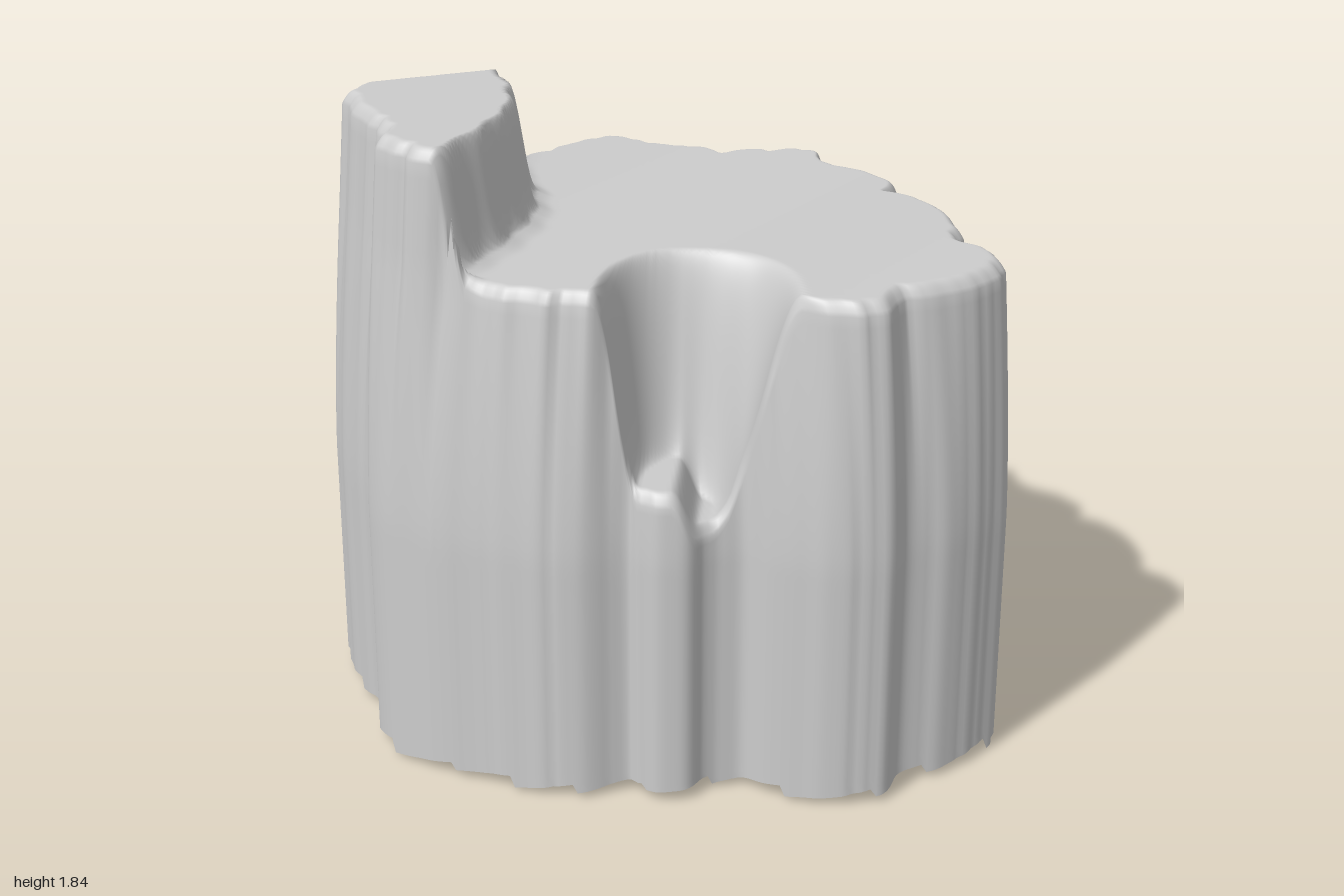
import * as THREE from 'three';

const SEG = 400;
const { smoothstep: smooth, lerp, clamp } = THREE.MathUtils;

// Plan outline (x, z) of the foot of the rock, starting at the right (-x) side and running past the back
const OUTLINE = [
  [-1, 0], [-.99, -.09], [-.89, -.22], [-.77, -.35], [-.61, -.48], [-.48, -.6], [-.34, -.75],
  [-.235, -.79], [-.13, -.75], [.03, -.71], [.165, -.67], [.3, -.695], [.45, -.66], [.49, -.55],
  [.62, -.43], [.705, -.32], [.72, -.23], [.835, -.11], [.89, .05], [.9, .19], [.99, .29],
  [.995, .385], [.89, .53], [.82, .58], [.72, .64], [.67, .73], [.51, .765], [.35, .73], [.27, .68],
  [.18, .71], [.11, .78], [0, .765], [-.05, .73], [-.13, .77], [-.26, .78], [-.45, .73],
  [-.61, .67], [-.73, .59], [-.8, .51], [-.81, .4], [-.88, .27], [-.96, .13],
];

// Plan positions of the cracks that open towards the rim
const CRACKS = [[.16, -.67], [.32, -.69], [-.12, -.75], [-.55, -.54], [-.98, -.05], [-.85, .3],
  [-.73, .59], [-.61, .67], [.72, -.25], [.88, .12], [.75, .62]];

// Small seeded noise, one value per integer
const hash = n => {
  const s = Math.sin(n * 127.1 + 11.7) * 43758.5453;
  return s - Math.floor(s);
};

// Periodic smooth noise around the outline, u in 0..1
function ringNoise(u, count, seed) {
  const p = u * count, i = Math.floor(p);
  const a = hash((i % count) + seed), b = hash(((i + 1) % count) + seed);
  return lerp(a, b, smooth(p - i, 0, 1)) * 2 - 1;
}

// x of the crooked ledge face at depth z
const LEDGE = [[-.5, -.5], [-.3, -.5], [-.1, -.42], [.1, -.39], [.25, -.41], [.4, -.45], [.6, -.53]];
function ledgeX(z) {
  const i = clamp(LEDGE.findIndex(p => p[0] >= z), 1, LEDGE.length - 1);
  const [z0, x0] = LEDGE[i - 1], [z1, x1] = LEDGE[i];
  return lerp(x0, x1, clamp((z - z0) / (z1 - z0), 0, 1)) + .006 * Math.sin(z * 38);
}

// Height of the top surface: plateau, raised ledge and front hollow
function topHeight(x, z) {
  let y = 1.5 - .025 * z + .004 * Math.sin(5 * x + 3 * z);

  // Ledge, sloping down to a low shoulder at its back end
  const back = (x + .57) * -.45 + (z + .36) * -.89;
  const e = x - ledgeX(z);
  const face = .9 * (1 - smooth(e, -.045, .025)) + .1 * (1 - smooth(e, -.02, .08));
  const end = .76 * (1 - smooth(back, -.11, .03)) + .24 * (1 - smooth(back, .02, .22));
  y += (1.835 - .01 * z - y) * face * end;

  // Hollow: steep on its left, sloping on its right, with a stepped floor
  const dx = Math.abs(x - .13) / (x < .13 ? .26 : .285);
  const dz = Math.max(0, .7 - z) / .36;
  const r = Math.pow(dx ** 2.5 + dz ** 2.5, .4);
  const floor = .83 + .11 * (1 - smooth(x, .08, .15)) + .08 * smooth(x, .18, .26);
  return floor + (y - floor) * smooth(r, lerp(.56, .3, smooth(x, .04, .28)), 1.02);
}

// Mesh from closed rings of points, bottom to top
function ringMesh(name, rings) {
  const pos = [], index = [];
  rings.forEach(ring => ring.forEach(p => pos.push(p.x, p.y, p.z)));
  for (let i = 0; i < rings.length - 1; i++) {
    for (let j = 0; j < SEG; j++) {
      const k = (j + 1) % SEG;
      const a = i * SEG + j, b = i * SEG + k, c = b + SEG, d = a + SEG;
      index.push(a, d, c, a, c, b);
    }
  }
  const geo = new THREE.BufferGeometry();
  geo.setAttribute('position', new THREE.Float32BufferAttribute(pos, 3));
  geo.setIndex(index);
  geo.computeVertexNormals();
  const mat = new THREE.MeshStandardMaterial({ color: 0xcccccc, side: THREE.DoubleSide });
  const mesh = new THREE.Mesh(geo, mat);
  mesh.name = name;
  return mesh;
}

export function createModel() {
  const group = new THREE.Group();
  group.name = 'rockStump';
  const DROP = .04, ROWS = 44, CAP = 84;

  const curve = new THREE.CatmullRomCurve3(
    OUTLINE.map(([x, z]) => new THREE.Vector3(x, 0, z)), true, 'centripetal');
  const foot = curve.getSpacedPoints(SEG).slice(0, SEG);

  // One fluted column per outline point, leaning inward above y = 0.72
  const columns = foot.map((p, j) => {
    const u = j / SEG, len = p.length();
    const nx = p.x / len, nz = p.z / len;
    const flute = .011 * (Math.abs(ringNoise(u, 100, 3)) - .5);
    let lean = .042 + .008 * Math.max(0, -nx) + (nz > 0 ? .035 : .02) * nz * nz
      + .012 * ringNoise(u, 64, 40) + .008 * ringNoise(u, 130, 90);
    for (const [x, z] of CRACKS) lean += .02 * Math.exp(-((p.x - x) ** 2 + (p.z - z) ** 2) / .0005);
    // Flare beside the hollow
    lean += .05 * Math.exp(-((p.x - .47) ** 2 + (p.z - .76) ** 2) / .012);

    const at = y => {
      const h = Math.max(0, Math.min(y, 1.5) - .72) / .76;
      const inset = lean * Math.pow(h, 1.4) + .08 * Math.max(0, y - 1.5) - flute;
      const s = 1 - inset / len;
      return new THREE.Vector3(p.x * s, y, p.z * s);
    };
    let rim = 1.5;
    for (let n = 0; n < 8; n++) {
      const q = at(rim - DROP);
      rim = topHeight(q.x, q.z);
    }
    // Chipped lower edge in short slanting pieces
    const chip = u * 27 + .3 * ringNoise(u, 13, 7) + 1;
    const base = .045 * (1 - (chip % 1) * (.4 + .6 * hash(Math.floor(chip))));
    return { at, edge: at(rim - DROP), base };
  });

  // Outer wall, open underneath
  const wall = [];
  for (let i = 0; i <= ROWS; i++) {
    wall.push(columns.map(c => c.at(lerp(c.base, c.edge.y, i / ROWS))));
  }

  // Top surface, rounded over at the rim and closing at the middle
  const top = [];
  for (let i = 1; i <= CAP; i++) {
    const k = i / CAP;
    const inward = k < .08 ? k * .6 : .048 + (k - .08) * .952 / .92;
    const drop = DROP * Math.pow(Math.max(0, 1 - inward / .045), 2);
    top.push(columns.map(({ edge }) => {
      const x = edge.x * (1 - inward), z = edge.z * (1 - inward);
      return new THREE.Vector3(x, topHeight(x, z) - drop, z);
    }));
  }
  group.add(ringMesh('rockBody', [...wall, ...top]));

  return group;
}
